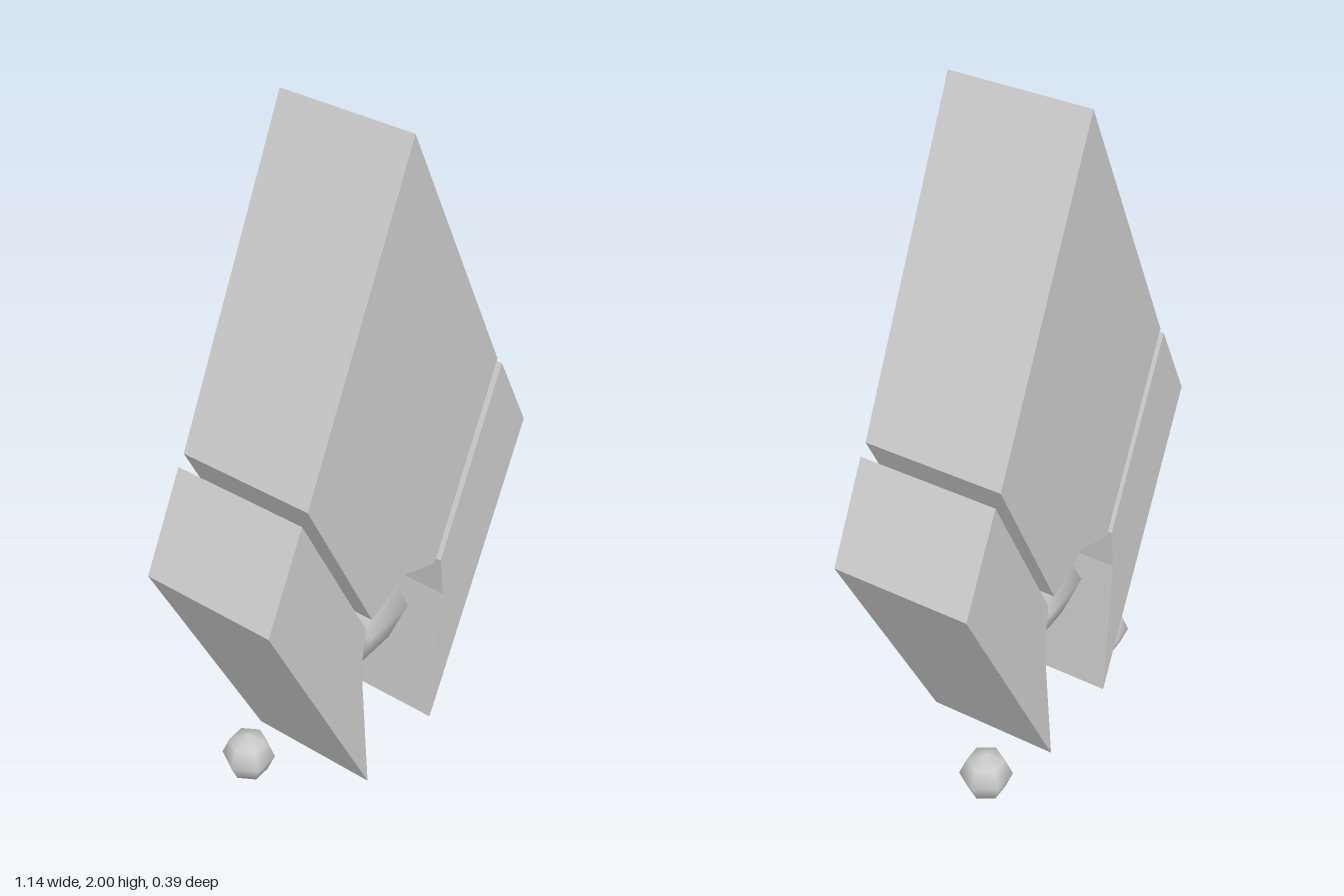
import * as THREE from 'three';

const DEPTH = 0.388;
const material = new THREE.MeshStandardMaterial({ color: 0xcccccc });

// Flat slab cut from an outline in x/y, centred on z = 0
function slab(name, points) {
  const shape = new THREE.Shape(points.map(([x, y]) => new THREE.Vector2(x, y)));
  const geometry = new THREE.ExtrudeGeometry(shape, { depth: DEPTH, bevelEnabled: false });
  geometry.translate(0, 0, -DEPTH / 2);
  const mesh = new THREE.Mesh(geometry, material);
  mesh.name = name;
  return mesh;
}

// Low-poly smooth ball
function ball(name, radius, x, y, z) {
  const mesh = new THREE.Mesh(new THREE.SphereGeometry(radius, 6, 4), material);
  mesh.name = name;
  mesh.position.set(x, y, z);
  return mesh;
}

export function createModel() {
  const model = new THREE.Group();
  model.name = 'splitDiamond';

  // Large upper diamond with a notch above the ball
  const body = slab('diamondBody', [
    [0, 2], [-0.408, 1.175], [-0.144, 0.643], [0, 0.7], [0.144, 0.643], [0.408, 1.175],
  ]);
  body.position.x = -0.003;
  model.add(body);

  // Side wings tapering to points, the tips slightly uneven
  for (const [name, side, tip] of [
    ['leftWing', 1, [0.147, 0.05]],
    ['rightWing', -1, [0.158, 0.04]],
  ]) {
    const outline = [[0.431, 1.147], [0.568, 0.886], tip, [0.19, 0.498], [0.173, 0.632]];
    const wing = slab(name, outline.map(([x, y]) => [x * side, y]));
    wing.position.x = -0.002;
    model.add(wing);
  }

  // Centre ball and two small balls near the ground
  model.add(ball('centreBall', 0.172, -0.004, 0.506, 0));
  model.add(ball('leftSmallBall', 0.075, 0.326, 0.078, -0.09));
  model.add(ball('rightSmallBall', 0.075, -0.328, 0.104, -0.1));

  return model;
}
